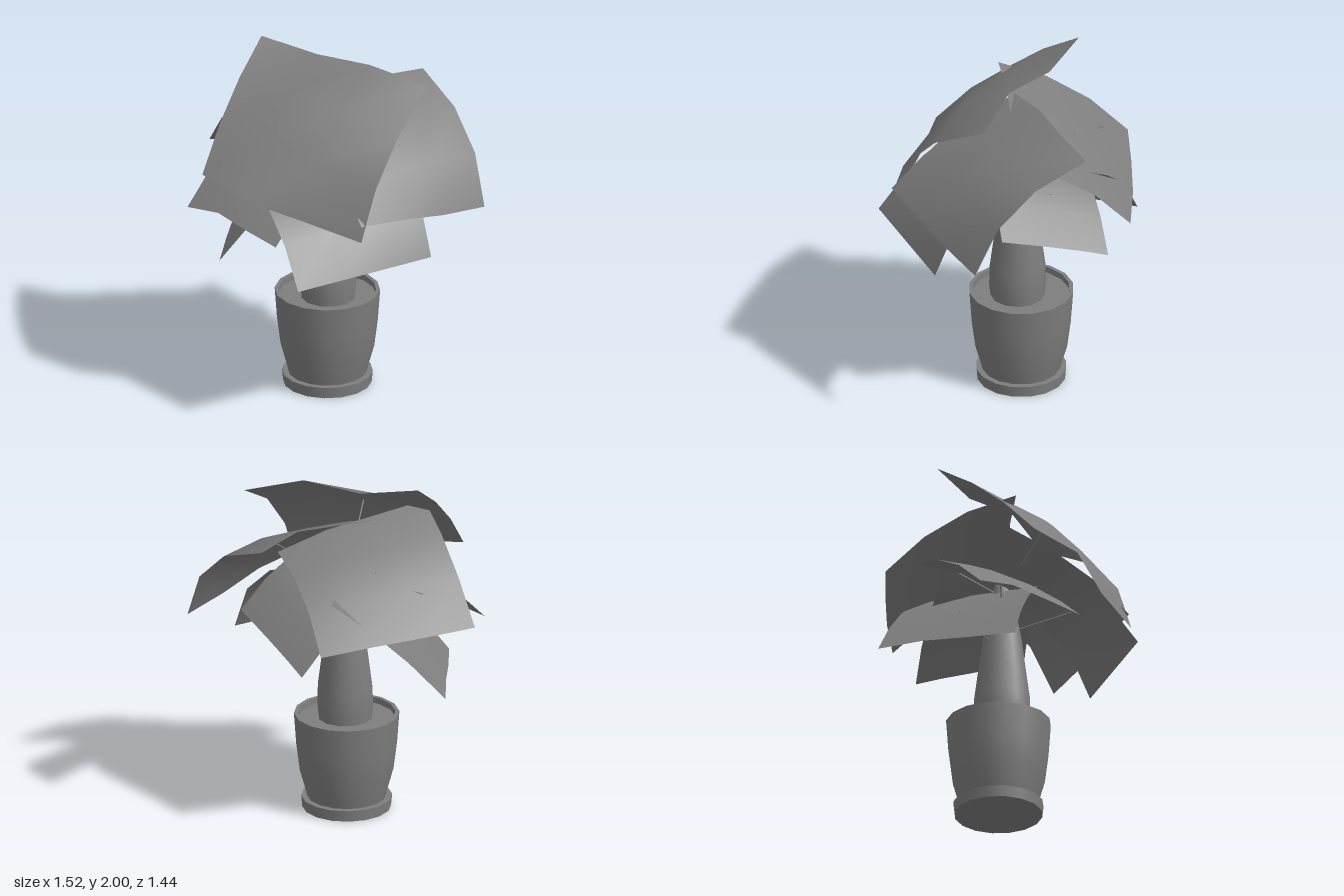
import * as THREE from 'three';

const grey = new THREE.MeshStandardMaterial({ color: 0x7e7e7e });
const sheet = new THREE.MeshStandardMaterial({ color: 0x7e7e7e, side: THREE.DoubleSide });
const vec = (a) => new THREE.Vector3(...a);

// Point at t along a polyline with evenly spaced corners
function along(points, t) {
  const s = t * (points.length - 1);
  const i = Math.min(Math.floor(s), points.length - 2);
  return vec(points[i]).lerp(vec(points[i + 1]), s - i);
}

// Leaf surface: inner edge to outer edge, arched by a bulge that varies across it
function leafPoint({ inner, outer, bulge }, u, v) {
  return along(inner, u).lerp(along(outer, u), v)
    .addScaledVector(along(bulge, u), 4.5 * v * (1 - v));
}

function leafGeometry(leaf, n = 3) {
  const positions = [], index = [];
  for (let j = 0; j <= n; j++) {
    for (let i = 0; i <= n; i++) {
      positions.push(...leafPoint(leaf, i / n, j / n).toArray());
      if (i < n && j < n) {
        const a = j * (n + 1) + i, b = a + n + 1;
        index.push(a, b, a + 1, b, b + 1, a + 1);
      }
    }
  }
  const g = new THREE.BufferGeometry();
  g.setAttribute('position', new THREE.Float32BufferAttribute(positions, 3));
  g.setIndex(index);
  g.computeVertexNormals();
  return g;
}

// Smooth turned part; repeated profile points keep an edge sharp
function turned(name, profile, segments, x, z) {
  const points = profile.map(([r, y]) => new THREE.Vector2(r, y));
  const mesh = new THREE.Mesh(new THREE.LatheGeometry(points, segments), grey);
  mesh.name = name;
  mesh.position.set(x, 0, z);
  return mesh;
}

export function createModel() {
  const model = new THREE.Group();
  model.name = 'pottedPlant';
  const px = 0.064, pz = -0.034;

  // Saucer, pot, soil and tapering trunk
  const saucer = new THREE.Mesh(new THREE.CylinderGeometry(0.256, 0.25, 0.065, 16), grey);
  saucer.name = 'saucer';
  saucer.position.set(px, 0.0325, pz);
  model.add(saucer);
  model.add(turned('pot', [
    [0.22, 0.05], [0.225, 0.08], [0.264, 0.22], [0.284, 0.38], [0.297, 0.562], [0.297, 0.565],
    [0.297, 0.565], [0.275, 0.565], [0.275, 0.565], [0.272, 0.5],
  ], 16, px, pz));
  const soil = new THREE.Mesh(new THREE.CylinderGeometry(0.274, 0.274, 0.02, 16), grey);
  soil.name = 'soil';
  soil.position.set(px, 0.52, pz);
  model.add(soil);
  model.add(turned('trunk', [
    [0.15, 0.5], [0.16, 0.6], [0.157, 0.72], [0.127, 0.95], [0.108, 1.1],
    [0.07, 1.3], [0.035, 1.45], [0, 1.47],
  ], 12, 0.083, -0.025));

  // Broad drooping leaves, each roughly square
  const leaves = {
    topLeaf: {
      inner: [[-0.39, 2, 0.06], [-0.09, 1.945, -0.09], [0.25, 1.965, -0.19], [0.54, 1.88, -0.365]],
      outer: [[-0.145, 1.425, 0.717], [0.16, 1.36, 0.68], [0.44, 1.26, 0.47], [0.735, 1.18, 0.3]],
      bulge: [[0, 0.03, 0.02], [0, 0.08, 0.03], [0.03, 0.08, 0.06], [0.05, 0.055, 0.1]],
    },
    backLeftLeaf: {
      inner: [[-0.03, 1.7, 0.17], [0, 1.743, -0.12], [0.08, 1.77, -0.43], [0.09, 1.727, -0.725]],
      outer: [[0.725, 1.27, 0.29], [0.755, 1.24, 0], [0.757, 1.18, -0.296], [0.758, 1.14, -0.6]],
      bulge: [[0.06, 0.03, 0], [0.095, 0.08, 0]],
    },
    backRightLeaf: {
      inner: [[0.31, 1.56, -0.34], [0.16, 1.66, -0.09], [0.02, 1.71, 0.17], [-0.1, 1.75, 0.44]],
      outer: [[-0.275, 1.16, -0.63], [-0.447, 1.2, -0.4], [-0.61, 1.225, -0.14], [-0.763, 1.25, 0.123]],
      bulge: [[-0.02, 0.06, 0], [-0.02, 0.06, -0.02]],
    },
    frontLeaf: {
      inner: [[-0.5, 1.43, -0.04], [-0.28, 1.45, -0.05], [0, 1.44, -0.05], [0.2, 1.36, -0.06]],
      outer: [[-0.42, 1.09, 0.587], [-0.19, 1.125, 0.56], [0.05, 1.09, 0.55], [0.267, 1.06, 0.53]],
      bulge: [[0, 0.05, 0.02], [0, 0.05, 0.02]],
    },
    lowLeftLeaf: {
      inner: [[-0.01, 1.41, 0.5], [0.17, 1.47, -0.28]],
      outer: [[0.58, 0.925, 0.635], [0.76, 0.95, -0.2]],
      bulge: [[0.03, 0.05, 0], [0.08, 0.09, 0]],
    },
    lowRightLeaf: {
      inner: [[0.18, 1.35, 0.2], [-0.217, 1.42, -0.48]],
      outer: [[-0.177, 0.835, 0.56], [-0.36, 0.847, 0.35], [-0.53, 0.868, 0.14], [-0.705, 0.857, -0.06]],
      bulge: [[-0.02, 0.02, 0.01], [-0.01, 0.03, 0]],
    },
    lowBackLeaf: {
      inner: [[-0.27, 1.36, -0.13], [0.32, 1.55, 0.03]],
      outer: [[-0.127, 1, -0.625], [0.09, 1.08, -0.565], [0.48, 1.2, -0.46]],
      bulge: [[0, 0.04, -0.02], [0, 0.04, -0.02]],
    },
  };

  for (const [name, leaf] of Object.entries(leaves)) {
    const mesh = new THREE.Mesh(leafGeometry(leaf), sheet);
    mesh.name = name;
    model.add(mesh);

    // Thin stalk from the trunk to the middle of the leaf
    const tip = leafPoint(leaf, 0.5, 0.5);
    const root = new THREE.Vector3(0.083, Math.min(tip.y - 0.15, 1.35), -0.025);
    const stalk = new THREE.Mesh(
      new THREE.TubeGeometry(new THREE.LineCurve3(root, tip), 1, 0.004, 5), grey);
    stalk.name = name + 'Stalk';
    model.add(stalk);
  }
  return model;
}
